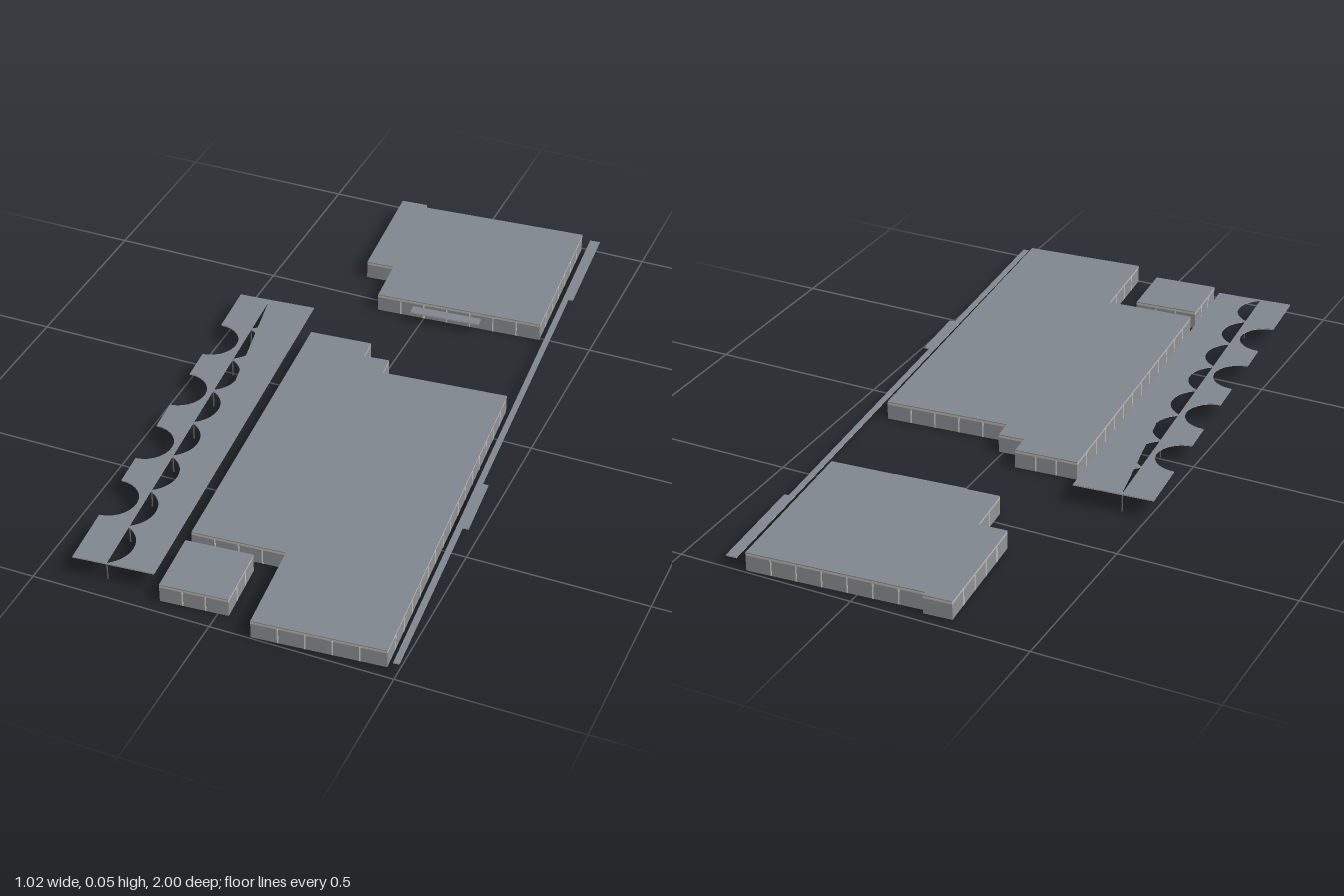
import * as THREE from 'three';

const flat = (name, color) => {
  const m = new THREE.MeshStandardMaterial({ color });
  m.name = name;
  return m;
};

export function createModel() {
  const roofGrey = flat('roofGrey', 0x80868d);
  const wallGrey = flat('wallGrey', 0x8f9296);
  const fasciaBeige = flat('fasciaBeige', 0xc0bdaf);
  const frameWhite = flat('frameWhite', 0xd6d6d2);
  const postGrey = flat('postGrey', 0x5c5e60);

  const model = new THREE.Group();
  model.name = 'buildingComplex';

  const add = (parent, name, geometry, material) => {
    const mesh = new THREE.Mesh(geometry, material);
    mesh.name = name;
    parent.add(mesh);
    return mesh;
  };

  // Horizontal plate from a plan outline of [x, z] points
  const plate = (parent, name, outline, bottom, top, material) => {
    const shape = new THREE.Shape(outline.map(([x, z]) => new THREE.Vector2(x, -z)));
    const g = new THREE.ExtrudeGeometry(shape, { depth: top - bottom, bevelEnabled: false });
    g.rotateX(-Math.PI / 2).translate(0, bottom, 0);
    return add(parent, name, g, material);
  };

  // Hollow block: one wall, fascia and row of mullions for each side of the plan
  const HEIGHT = 0.054, FASCIA = 0.045, WALL = 0.005;
  const building = (name, outline) => {
    const group = new THREE.Group();
    group.name = name;
    plate(group, 'roof', outline, HEIGHT - 0.002, HEIGHT, roofGrey);
    outline.forEach(([x0, z0], i) => {
      const [x1, z1] = outline[(i + 1) % outline.length];
      const length = Math.hypot(x1 - x0, z1 - z0);
      const side = new THREE.Group();
      side.name = 'facade';
      side.position.set(x0, 0, z0);
      side.rotation.y = -Math.atan2(z1 - z0, x1 - x0);
      add(side, 'wall', new THREE.BoxGeometry(length, FASCIA, WALL), wallGrey)
        .position.set(length / 2, FASCIA / 2, WALL / 2);
      const band = HEIGHT - 0.002 - FASCIA;
      add(side, 'fascia', new THREE.BoxGeometry(length, band, WALL), fasciaBeige)
        .position.set(length / 2, FASCIA + band / 2, WALL / 2);
      const bays = Math.max(1, Math.round(length / 0.071));
      for (let k = 1; k < bays; k++) {
        add(side, 'mullion', new THREE.BoxGeometry(0.004, FASCIA, WALL + 0.001), frameWhite)
          .position.set(length * k / bays, FASCIA / 2, WALL / 2);
      }
      group.add(side);
    });
    model.add(group);
  };

  building('mainBuilding', [
    [-0.246, -0.204], [-0.066, -0.218], [-0.061, -0.154], [0.013, -0.161], [0.019, -0.1],
    [0.379, -0.131], [0.469, 0.966], [0.113, 0.996], [0.088, 0.722], [-0.172, 0.741],
  ]);
  building('smallBuilding', [[-0.172, 0.776], [0.014, 0.761], [0.029, 0.945], [-0.157, 0.96]]);
  building('backBuilding', [
    [-0.267, -0.961], [-0.188, -0.967], [-0.186, -0.953], [0.309, -0.992],
    [0.349, -0.492], [-0.141, -0.455], [-0.155, -0.608], [-0.237, -0.602],
  ]);

  // Thin roofs: grey on top, beige below
  const canopy = (name, outline, top) => {
    const group = new THREE.Group();
    group.name = name;
    plate(group, 'canopyTop', outline, top - 0.001, top, roofGrey);
    plate(group, 'canopySoffit', outline, top - 0.003, top - 0.001, fasciaBeige);
    model.add(group);
  };

  canopy('entranceCanopy', [[-0.034, -0.463], [0.172, -0.479], [0.177, -0.449], [-0.029, -0.431]], 0.036);
  canopy('sideWalkwayRoof', [
    [0.333, -0.998], [0.363, -1], [0.388, -0.674], [0.375, -0.672], [0.447, 0.241],
    [0.463, 0.24], [0.479, 0.431], [0.463, 0.433], [0.506, 0.979], [0.49, 0.981],
  ], 0.036);

  // Edge from a to b with arc-shaped bites cut towards +x
  const bittenEdge = (a, b, centres, half, depth) => {
    const length = Math.hypot(b[0] - a[0], b[1] - a[1]);
    const dx = (b[0] - a[0]) / length, dz = (b[1] - a[1]) / length;
    const radius = (half * half + depth * depth) / (2 * depth);
    const angle = Math.asin(Math.min(1, half / radius));
    const points = [a];
    for (const centre of centres) {
      for (let k = 0; k <= 14; k++) {
        const t = angle * (k / 7 - 1);
        const u = centre + radius * Math.sin(t);
        const v = radius * Math.cos(t) - radius + depth;
        points.push([a[0] + dx * u + dz * v, a[1] + dz * u - dx * v]);
      }
    }
    points.push(b);
    return points.filter((p, i) => !i ||
      Math.hypot(p[0] - points[i - 1][0], p[1] - points[i - 1][1]) > 1e-5);
  };

  const seamTop = [-0.424, -0.306], seamEnd = [-0.318, 0.939];
  const seamLength = Math.hypot(seamEnd[0] - seamTop[0], seamEnd[1] - seamTop[1]);
  const bay = seamLength / 8;

  // Outer canopy with four round bites
  canopy('outerCanopy', [
    ...bittenEdge([-0.513, -0.299], [-0.41, 0.948], [0, 1, 2, 3].map(i => 0.24 + 0.2525 * i), 0.076, 0.076),
    seamEnd, seamTop,
  ], 0.055);

  // Inner canopy with eight shallow scallops along the seam
  canopy('innerCanopy', [
    ...bittenEdge(seamTop, seamEnd, Array.from({ length: 8 }, (_, i) => bay * (i + 0.5)), bay / 2 - 0.002, 0.045),
    [-0.187, 0.928], [-0.287, -0.318],
  ], 0.055);

  // Posts at the points between scallops
  for (let i = 0; i <= 8; i++) {
    const t = THREE.MathUtils.lerp(0.004, 0.996, i / 8);
    add(model, 'canopyPost', new THREE.CylinderGeometry(0.0022, 0.0022, 0.052, 8), postGrey).position.set(
      THREE.MathUtils.lerp(seamTop[0], seamEnd[0], t), 0.026,
      THREE.MathUtils.lerp(seamTop[1], seamEnd[1], t));
  }

  return model;
}
